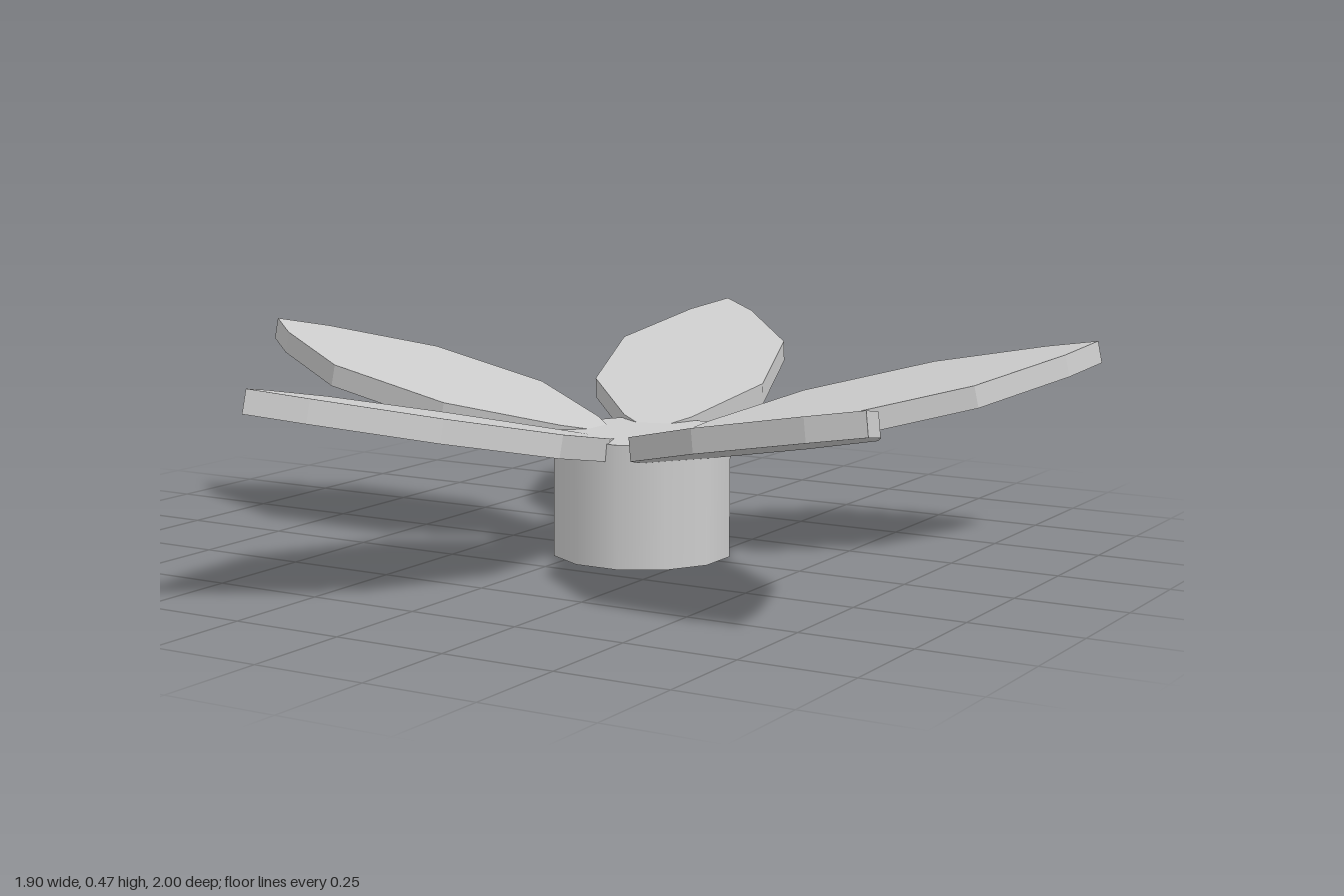
import * as THREE from 'three';

const PETALS = 5;
const TILT = Math.atan(0.21);
// Half outline of a petal: distance along it, half width
const OUTLINE = [[0.085, 0], [0.18, 0.08], [0.42, 0.205], [0.735, 0.205], [0.975, 0.08], [1.074, 0]];

function petalGeometry() {
  const lower = OUTLINE.map(([x, w]) => new THREE.Vector2(x, -w));
  const upper = OUTLINE.slice(1, -1).reverse().map(([x, w]) => new THREE.Vector2(x, w));
  const geometry = new THREE.ExtrudeGeometry(new THREE.Shape([...lower, ...upper]), {
    depth: 0.051, bevelEnabled: false,
  });
  // Lay flat, then raise the tip
  return geometry.rotateX(-Math.PI / 2).rotateZ(TILT);
}

export function createModel() {
  const model = new THREE.Group();
  model.name = 'flower';
  const grey = new THREE.MeshStandardMaterial({ color: 0xcccccc });
  grey.name = 'light grey';

  // Short twelve-sided hub with smooth sides
  const hub = new THREE.Mesh(new THREE.CylinderGeometry(0.204, 0.204, 0.277, 12), grey);
  hub.name = 'hub';
  hub.rotation.y = Math.PI / 12;
  hub.position.set(0.1, 0.1385, 0);
  model.add(hub);

  // Ring of petals rising outwards from the hub
  const geometry = petalGeometry();
  for (let i = 0; i < PETALS; i++) {
    const petal = new THREE.Mesh(geometry, grey);
    petal.name = `petal${i + 1}`;
    petal.position.set(0.1, 0.2, 0);
    petal.rotation.y = Math.PI + (i * 2 * Math.PI) / PETALS;
    model.add(petal);
  }
  return model;
}
